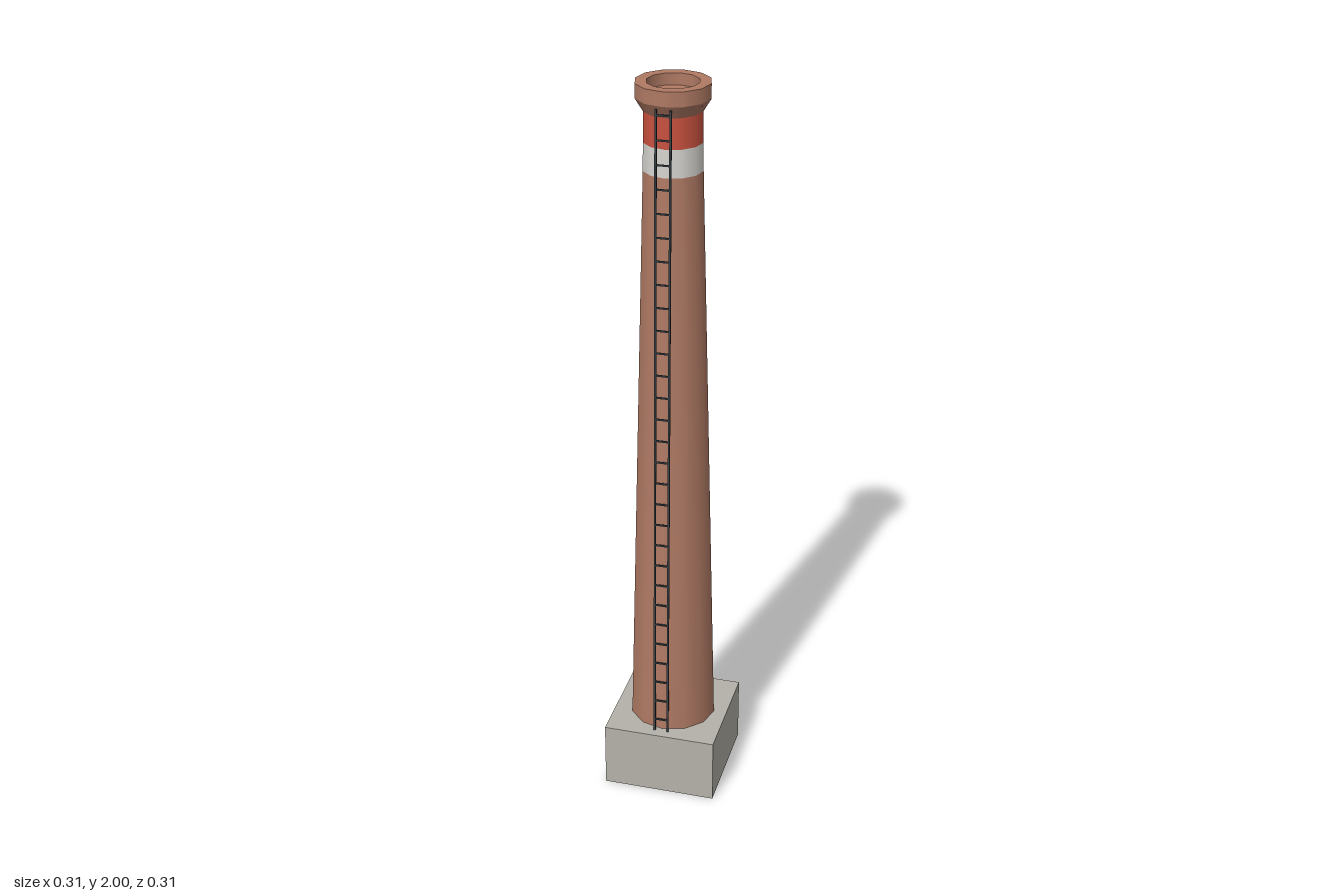
import * as THREE from 'three';

const SIDES = 12;

export function createModel() {
  const group = new THREE.Group();
  group.name = 'chimney';

  const material = (name, color) => {
    const m = new THREE.MeshStandardMaterial({ color });
    m.name = name;
    return m;
  };
  const brick = material('brick', 0xb07a64);
  const concrete = material('concrete', 0xb4b2aa);
  const red = material('redPaint', 0xc8513f);
  const white = material('whitePaint', 0xd6d5d0);
  const steel = material('darkSteel', 0x394146);

  const add = (name, geometry, mat, parent = group) => {
    const mesh = new THREE.Mesh(geometry, mat);
    mesh.name = name;
    parent.add(mesh);
    return mesh;
  };
  // One smooth twelve-sided section from [radius, y] to [radius, y]
  const section = (name, from, to, mat) => add(name,
    new THREE.LatheGeometry([new THREE.Vector2(...from), new THREE.Vector2(...to)], SIDES), mat);

  // Square foundation
  const base = add('foundation', new THREE.BoxGeometry(0.31, 0.185, 0.31), concrete);
  base.position.y = 0.0925;

  // Tapered shaft and painted bands
  section('shaft', [0.119, 0.185], [0.077, 1.78], brick);
  section('whiteBand', [0.077, 1.78], [0.076, 1.852], white);
  section('redBand', [0.076, 1.852], [0.075, 1.93], red);

  // Flared crown with a recessed flue
  section('crownFlare', [0.075, 1.93], [0.095, 1.963], brick);
  section('crownWall', [0.095, 1.963], [0.095, 2], brick);
  section('crownRim', [0.095, 2], [0.066, 2], brick);
  section('flueWall', [0.066, 2], [0.066, 1.97], brick);
  section('flueFloor', [0.066, 1.97], [0, 1.97], brick);

  // Ladder leaning along the front of the shaft
  const ladder = new THREE.Group();
  ladder.name = 'ladder';
  group.add(ladder);
  const bottom = { y: 0.185, z: 0.129 };
  const top = { y: 1.955, z: 0.091 };
  const dy = top.y - bottom.y;
  const dz = top.z - bottom.z;
  for (const side of [-1, 1]) {
    const rail = add(side < 0 ? 'rightRail' : 'leftRail',
      new THREE.BoxGeometry(0.005, Math.hypot(dy, dz), 0.005), steel, ladder);
    rail.position.set(side * 0.0185, (bottom.y + top.y) / 2, (bottom.z + top.z) / 2);
    rail.rotation.x = Math.atan2(dz, dy);
  }
  const rungShape = new THREE.BoxGeometry(0.036, 0.004, 0.004);
  for (let i = 0; i < 29; i++) {
    const y = 0.222 + i * 0.0614;
    const rung = add('rung', rungShape, steel, ladder);
    rung.position.set(0, y, bottom.z + dz * (y - bottom.y) / dy);
  }

  return group;
}
